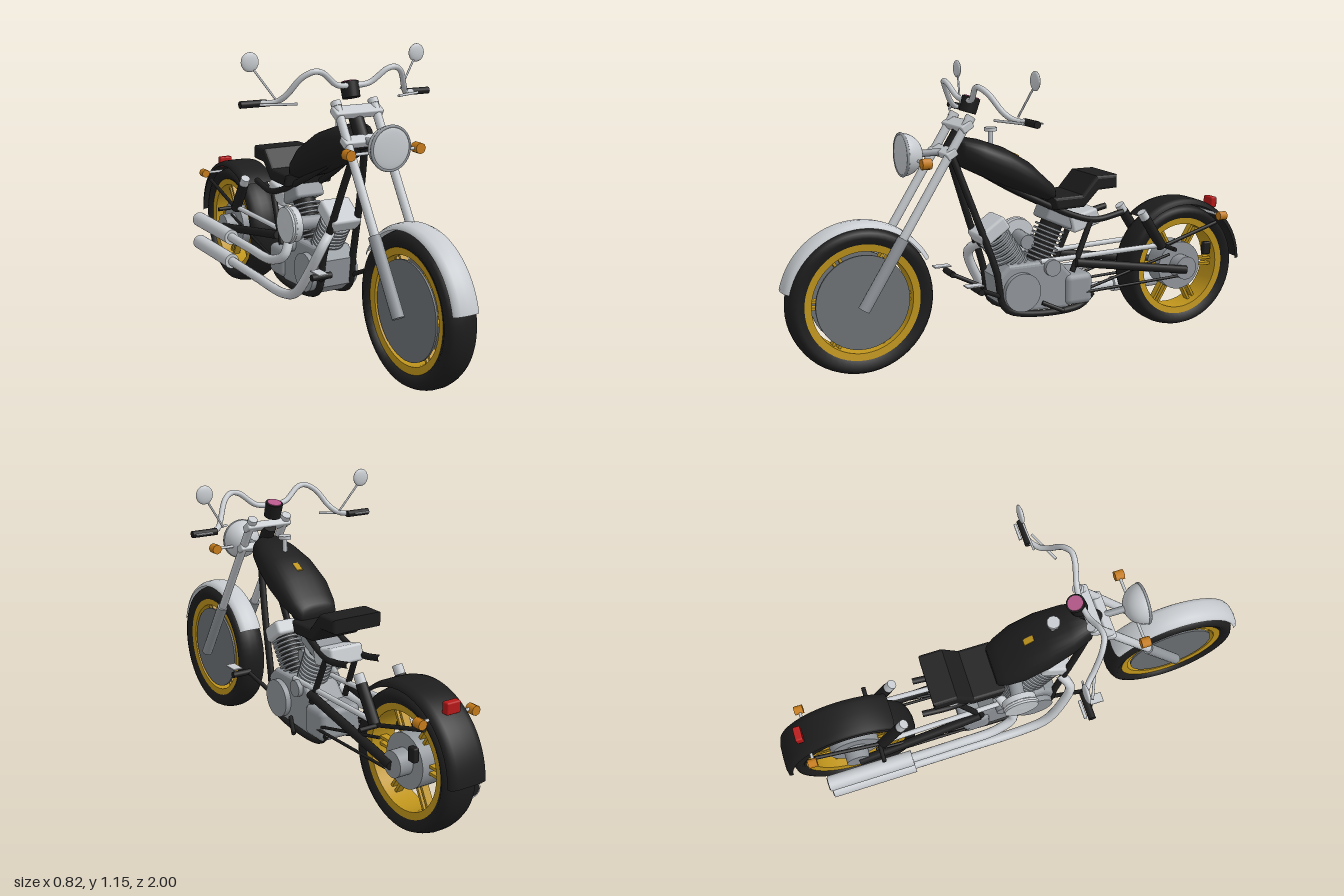
import * as THREE from 'three';
import { toCreasedNormals } from 'three/addons/utils/BufferGeometryUtils.js';
import { RoundedBoxGeometry } from 'three/addons/geometries/RoundedBoxGeometry.js';

const paint = (name, color) => Object.assign(new THREE.MeshStandardMaterial({ color }), { name });
const V = (x, y, z) => new THREE.Vector3(x, y, z);

export function createModel() {
  const root = new THREE.Group();
  root.name = 'motorcycle';
  const black = paint('black', 0x1d1d1d), chrome = paint('chrome', 0xc8ccd0), metal = paint('engine grey', 0x92979c);
  const steel = paint('disc grey', 0x6e7276), gold = paint('gold', 0xc0951c), amber = paint('amber', 0xc87d1a);
  const red = paint('red', 0xb81818), pink = paint('dial pink', 0xb85a8c);
  const chromeSheet = paint('chrome sheet', 0xc8ccd0), blackSheet = paint('black sheet', 0x1d1d1d);
  chromeSheet.side = blackSheet.side = THREE.DoubleSide;

  const add = (name, geo, mat, x = 0, y = 0, z = 0, parent = root) => {
    const m = new THREE.Mesh(geo, mat);
    m.name = name;
    m.position.set(x, y, z);
    parent.add(m);
    return m;
  };
  const box = (w, h, d, r = 0.006) => new RoundedBoxGeometry(w, h, d, 2, r);
  const cylX = (r, len, n = 32) => new THREE.CylinderGeometry(r, r, len, n).rotateZ(Math.PI / 2);
  const cylZ = (r, len, n = 16) => new THREE.CylinderGeometry(r, r, len, n).rotateX(Math.PI / 2);
  // Straight bar between two points
  const rod = (name, a, b, r, mat) => {
    const d = b.clone().sub(a), m = add(name, new THREE.CylinderGeometry(r, r, d.length(), 14), mat);
    m.position.copy(a).addScaledVector(d, 0.5);
    m.quaternion.setFromUnitVectors(V(0, 1, 0), d.normalize());
    return m;
  };
  // Bent pipe through [x, y, z] points
  const pipe = (name, pts, r, mat) =>
    add(name, new THREE.TubeGeometry(new THREE.CatmullRomCurve3(pts.map(p => V(...p))), 40, r, 12), mat);
  // Ring turned around the x axis from [radius, x] points
  const turned = (pts, start = 0, len = Math.PI * 2, n = 56) =>
    new THREE.LatheGeometry(pts.map(p => new THREE.Vector2(...p)), n, start, len).rotateZ(Math.PI / 2);
  // Side outline in [z, y] extruded across x
  const slab = (pts, width, bevel) => {
    const s = new THREE.Shape(pts.map(p => new THREE.Vector2(...p)));
    const g = new THREE.ExtrudeGeometry(s, { depth: width - 2 * bevel, bevelSize: bevel, bevelThickness: bevel, bevelOffset: -bevel, bevelSegments: 3 });
    return g.translate(0, 0, -width / 2 + bevel).rotateY(-Math.PI / 2);
  };
  // Body from [z, bottom, top, halfWidth] sections
  const loft = (sections, n = 28) => {
    const pos = [], idx = [], pw = (v) => Math.sign(v) * Math.abs(v) ** 0.8;
    for (const [z, lo, hi, w] of sections) for (let j = 0; j < n; j++) {
      const t = j / n * Math.PI * 2;
      pos.push(w * pw(Math.cos(t)), (lo + hi) / 2 + (hi - lo) / 2 * pw(Math.sin(t)), z);
    }
    const last = sections.length - 1;
    for (let i = 0; i < last; i++) for (let j = 0; j < n; j++) {
      const a = i * n + j, b = i * n + (j + 1) % n;
      idx.push(a, a + n, b, b, a + n, b + n);
    }
    for (let j = 1; j < n - 1; j++) idx.push(0, j, j + 1, last * n, last * n + j + 1, last * n + j);
    const g = new THREE.BufferGeometry();
    g.setAttribute('position', new THREE.Float32BufferAttribute(pos, 3));
    g.setIndex(idx);
    return toCreasedNormals(g, 0.8);
  };

  // Wheels
  const wheel = (name, y, z, R, w, rimR, hubR) => {
    const g = new THREE.Group();
    g.name = name;
    g.position.set(0, y, z);
    root.add(g);
    const i = rimR - 0.004, h = R - i;
    add('tyre', turned([[i, -w * 0.75], [i + h * 0.45, -w], [i + h * 0.75, -w * 0.9], [R - 0.006, -w * 0.62], [R, -w * 0.25],
      [R, w * 0.25], [R - 0.006, w * 0.62], [i + h * 0.75, w * 0.9], [i + h * 0.45, w], [i, w * 0.75], [i, -w * 0.75]]), black, 0, 0, 0, g);
    add('rim', toCreasedNormals(turned([[rimR - 0.028, -w * 0.72], [rimR, -w * 0.78], [rimR, w * 0.78], [rimR - 0.028, w * 0.72],
      [rimR - 0.028, -w * 0.72]]), 0.6), gold, 0, 0, 0, g);
    for (let k = 0; k < 6; k++) for (const s of [-1, 1]) {
      const len = rimR - 0.045;
      add('spoke', new THREE.BoxGeometry(0.03, len, 0.011).translate(0, len / 2 + 0.03, s * 0.013), gold, 0, 0, 0, g).rotation.x = k * Math.PI / 3 + 0.5;
    }
    add('hub', cylX(hubR, w * 1.25), metal, 0, 0, 0, g);
    return g;
  };
  const front = wheel('frontWheel', 0.293, 0.705, 0.284, 0.063, 0.225, 0.05);
  for (const s of [-1, 1]) add('brakeDisc', cylX(0.182, 0.008, 48), steel, s * 0.042, 0, 0, front);
  const rear = wheel('rearWheel', 0.276, -0.705, 0.266, 0.072, 0.212, 0.104);
  add('rearAxle', cylX(0.05, 0.2), metal, 0, 0, 0, rear);

  // Fenders
  const deg = Math.PI / 180;
  add('frontFender', turned([[0.284, -0.052], [0.296, -0.047], [0.304, -0.03], [0.307, 0], [0.304, 0.03], [0.296, 0.047], [0.284, 0.052]],
    13 * deg, 138 * deg), chromeSheet, 0, 0.293, 0.705);
  add('rearFender', turned([[0.272, -0.078], [0.289, -0.074], [0.295, -0.05], [0.296, 0], [0.295, 0.05], [0.289, 0.074], [0.272, 0.078]],
    50 * deg, 128 * deg), blackSheet, 0, 0.276, -0.705);
  add('tailLight', box(0.06, 0.045, 0.03), red, 0, 0.535, -0.89);
  rod('rearSignalBar', V(-0.11, 0.495, -0.865), V(0.11, 0.495, -0.865), 0.006, chrome);

  // Paired parts
  for (const s of [-1, 1]) {
    rod('forkTube', V(s * 0.08, 0.293, 0.705), V(s * 0.08, 0.965, 0.283), 0.017, chrome);
    rod('forkLowerLeg', V(s * 0.082, 0.275, 0.716), V(s * 0.082, 0.53, 0.556), 0.023, metal);
    rod('forkCap', V(s * 0.08, 0.955, 0.289), V(s * 0.08, 0.972, 0.278), 0.02, chrome);
    add('frontSignal', cylZ(0.021, 0.037, 8), amber, s * 0.147, 0.815, 0.485);
    add('rearSignal', cylZ(0.019, 0.036, 8), amber, s * 0.116, 0.493, -0.868);
    // Handlebar half with grip, lever and mirror
    pipe('handlebar', [[0, 1.025, 0.26], [s * 0.07, 1.033, 0.27], [s * 0.14, 1.083, 0.285], [s * 0.175, 1.088, 0.285], [s * 0.215, 1.065, 0.265],
      [s * 0.257, 1.0, 0.225], [s * 0.285, 0.975, 0.195], [s * 0.34, 0.97, 0.165], [s * 0.4, 0.97, 0.163]], 0.011, chrome);
    add('grip', cylX(0.0135, 0.105, 14), black, s * 0.36, 0.97, 0.165);
    rod('lever', V(s * 0.22, 0.97, 0.245), V(s * 0.345, 0.968, 0.19), 0.005, chrome);
    add('leverEnd', box(0.07, 0.006, 0.012, 0.002), chrome, s * 0.37, 0.972, 0.143);
    rod('mirrorStalk', V(s * 0.275, 0.985, 0.175), V(s * 0.355, 1.1, 0.15), 0.004, chrome);
    add('mirror', new THREE.SphereGeometry(0.036, 20, 12).scale(1, 1, 0.3), chrome, s * 0.363, 1.12, 0.15);
    // Frame
    pipe('downTube', [[s * 0.015, 0.83, 0.335], [s * 0.045, 0.6, 0.255], [s * 0.068, 0.35, 0.17], [s * 0.07, 0.21, 0.14], [s * 0.07, 0.175, 0.08],
      [s * 0.07, 0.17, -0.2], [s * 0.07, 0.22, -0.26]], 0.014, black);
    pipe('upperRail', [[s * 0.02, 0.79, 0.28], [s * 0.05, 0.64, 0.02], [s * 0.07, 0.54, -0.2], [s * 0.072, 0.525, -0.28], [s * 0.072, 0.545, -0.4]], 0.013, black);
    rod('seatStrut', V(s * 0.072, 0.53, -0.25), V(s * 0.08, 0.32, -0.16), 0.012, black);
    rod('swingarm', V(s * 0.092, 0.36, -0.17), V(s * 0.1, 0.27, -0.7), 0.018, black);
    rod('lowerStay', V(s * 0.09, 0.23, -0.22), V(s * 0.094, 0.245, -0.68), 0.006, black);
    rod('crossStay', V(s * 0.085, 0.235, -0.2), V(s * 0.094, 0.345, -0.62), 0.006, black);
    rod('chromeStay', V(s * 0.07, 0.375, -0.02), V(s * 0.085, 0.388, -0.58), 0.011, chrome);
    rod('shock', V(s * 0.088, 0.51, -0.5), V(s * 0.088, 0.38, -0.585), 0.022, black);
    rod('shockTop', V(s * 0.088, 0.54, -0.48), V(s * 0.088, 0.505, -0.503), 0.02, chrome);
    rod('fenderStrut', V(s * 0.088, 0.38, -0.585), V(s * 0.088, 0.46, -0.86), 0.008, black);
    // Foot controls
    add('footPeg', cylX(0.013, 0.085, 12), black, s * 0.143, 0.315, 0.285);
    add('pedal', box(0.042, 0.006, 0.07, 0.002), chrome, s * 0.165, 0.34, 0.31);
    rod('pegBracket', V(s * 0.11, 0.315, 0.285), V(s * 0.07, 0.25, 0.15), 0.009, black);
    add('passengerPeg', cylX(0.009, 0.09, 12), black, s * 0.122, 0.383, -0.6);
    add('cover', cylX(0.078, 0.03), metal, s * 0.088, 0.265, 0.07);
    add('smallCover', cylX(0.034, 0.03, 24), metal, s * 0.085, 0.35, -0.065);
  }
  add('rearCaliper', box(0.025, 0.055, 0.036), black, 0.09, 0.353, -0.81);
  rod('kickstand', V(0.09, 0.21, -0.02), V(0.125, 0.175, -0.1), 0.009, black);

  // Steering head, headlight and dial
  add('topClamp', box(0.205, 0.03, 0.05), chrome, 0, 0.935, 0.3).rotation.x = 0.55;
  add('lowerClamp', box(0.2, 0.03, 0.045), chrome, 0, 0.835, 0.362).rotation.x = 0.55;
  rod('steeringHead', V(0, 0.81, 0.355), V(0, 0.93, 0.28), 0.028, black);
  add('headlightShell', new THREE.SphereGeometry(0.082, 32, 16, 0, Math.PI * 2, 0, Math.PI / 2).rotateX(-Math.PI / 2), chrome, 0, 0.833, 0.53);
  add('headlightRim', new THREE.TorusGeometry(0.079, 0.006, 10, 36), metal, 0, 0.833, 0.528);
  add('headlightLens', new THREE.SphereGeometry(0.078, 32, 12).scale(1, 1, 0.1), chrome, 0, 0.833, 0.53);
  rod('headlightBracket', V(0, 0.835, 0.36), V(0, 0.833, 0.46), 0.014, metal);
  rod('frontSignalBar', V(-0.14, 0.815, 0.485), V(0.14, 0.815, 0.485), 0.006, chrome);
  const dial = add('dialHousing', new THREE.CylinderGeometry(0.036, 0.034, 0.06, 24), black, 0, 1.008, 0.25);
  dial.rotation.x = -0.3;
  add('dialFace', new THREE.CylinderGeometry(0.029, 0.029, 0.005, 24), pink, 0, 0.031, 0, dial);

  // Tank and seat
  add('tank', loft([[0.305, 0.785, 0.885, 0.06], [0.295, 0.772, 0.89, 0.074], [0.22, 0.735, 0.875, 0.097], [0.12, 0.685, 0.84, 0.113],
    [0.02, 0.643, 0.78, 0.115], [-0.05, 0.62, 0.715, 0.1], [-0.08, 0.61, 0.69, 0.085], [-0.087, 0.62, 0.675, 0.075]]), black);
  add('fuelCap', new THREE.CylinderGeometry(0.026, 0.026, 0.014, 10), chrome, 0, 0.91, 0.162);
  add('fuelCapStem', new THREE.CylinderGeometry(0.01, 0.01, 0.08, 10), chrome, 0, 0.87, 0.162);
  add('tankBadge', box(0.026, 0.008, 0.045, 0.003), gold, 0, 0.807, 0.066).rotation.x = -0.45;
  add('seat', slab([[-0.06, 0.635], [-0.19, 0.638], [-0.255, 0.71], [-0.35, 0.71], [-0.35, 0.655], [-0.265, 0.652],
    [-0.2, 0.588], [-0.075, 0.585]], 0.22, 0.012), black);

  // Engine
  add('crankcase', slab([[0.17, 0.33], [0.12, 0.375], [-0.1, 0.375], [-0.16, 0.31], [-0.2, 0.2], [-0.14, 0.17], [0.1, 0.18], [0.155, 0.22]], 0.16, 0.015), metal);
  add('gearbox', box(0.19, 0.13, 0.125, 0.025), metal, 0, 0.245, -0.19);
  for (const [name, y, z, tilt, len] of [['frontCylinder', 0.34, 0.055, 0.6, 0.23], ['rearCylinder', 0.34, -0.03, -0.42, 0.24]]) {
    const c = new THREE.Group();
    c.name = name;
    c.position.set(0, y, z);
    c.rotation.x = tilt;
    root.add(c);
    add('barrel', new THREE.CylinderGeometry(0.046, 0.046, len, 24), black, 0, len / 2, 0, c);
    for (let k = 0; k < 9; k++) add('fin', new THREE.CylinderGeometry(0.064, 0.064, 0.008, 28), metal, 0, 0.02 + k * 0.0185, 0, c);
    add('cylinderHead', box(0.13, 0.06, 0.13, 0.012), tilt > 0 ? chrome : metal, 0, len - 0.02, 0, c);
  }
  add('oilTank', box(0.15, 0.07, 0.13, 0.012), chrome, 0, 0.525, -0.225).rotation.x = 0.25;
  add('airCleaner', cylX(0.072, 0.045), chrome, -0.122, 0.447, -0.005);
  add('airCleanerFace', new THREE.SphereGeometry(0.077, 28, 14).scale(0.2, 1, 1), chrome, -0.13, 0.447, -0.005);
  rod('intake', V(-0.11, 0.447, -0.005), V(0.02, 0.447, 0.01), 0.03, metal);

  // Exhausts
  pipe('frontExhaust', [[-0.05, 0.45, 0.19], [-0.1, 0.41, 0.22], [-0.13, 0.31, 0.18], [-0.15, 0.2, 0.1], [-0.152, 0.165, 0], [-0.154, 0.165, -0.25], [-0.156, 0.17, -0.5]], 0.02, chrome);
  pipe('rearExhaust', [[-0.05, 0.43, -0.08], [-0.1, 0.37, -0.05], [-0.13, 0.31, -0.04], [-0.148, 0.275, -0.12], [-0.154, 0.275, -0.3], [-0.157, 0.28, -0.5]], 0.02, chrome);
  for (const y of [0.17, 0.28]) {
    add('muffler', cylZ(0.033, 0.36, 24), chrome, -0.157, y, -0.668);
    add('mufflerOutlet', cylZ(0.026, 0.004, 24), black, -0.157, y, -0.849);
  }
  return root;
}
